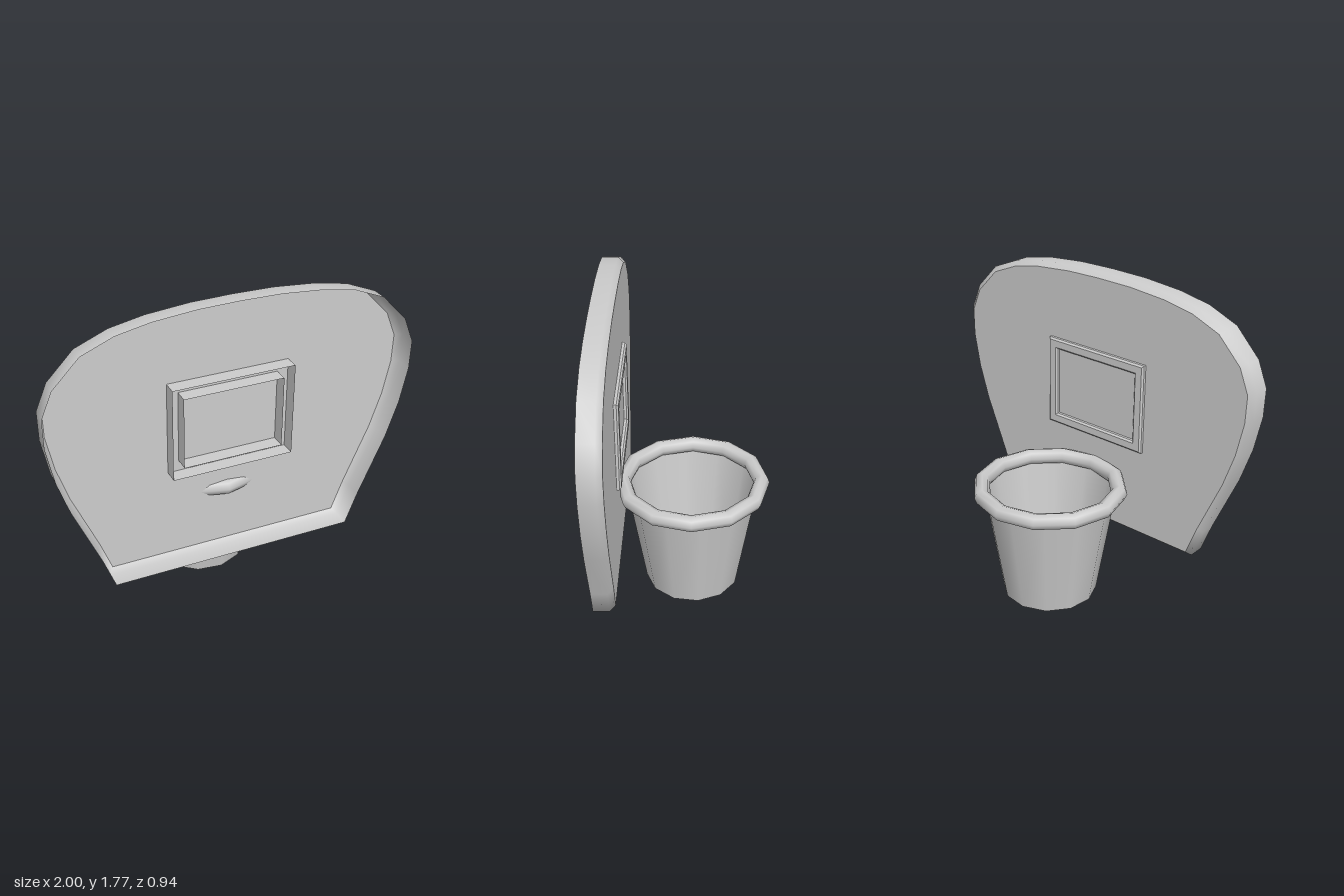
import * as THREE from 'three';
import { mergeVertices } from 'three/addons/utils/BufferGeometryUtils.js';

const material = (flatShading = false) =>
  new THREE.MeshStandardMaterial({ color: 0xcccccc, side: THREE.DoubleSide, flatShading });

// Skin a stack of closed rings, each an array of [x, y, z]; optionally cap the last ring
function loft(rings, cap = false) {
  const n = rings[0].length;
  const index = [];
  for (let r = 0; r < rings.length - 1; r++) {
    for (let i = 0; i < n; i++) {
      const a = r * n + i, b = r * n + (i + 1) % n;
      index.push(a, a + n, b, b, a + n, b + n);
    }
  }
  if (cap) {
    const base = (rings.length - 1) * n;
    const flat = rings[rings.length - 1].map(([x, y]) => new THREE.Vector2(x, y));
    for (const [a, b, c] of THREE.ShapeUtils.triangulateShape(flat, [])) {
      index.push(base + a, base + c, base + b);
    }
  }
  const geometry = new THREE.BufferGeometry();
  geometry.setAttribute('position', new THREE.Float32BufferAttribute(rings.flat(2), 3));
  geometry.setIndex(index);
  geometry.computeVertexNormals();
  return geometry;
}

function addMesh(group, name, geometry, mat) {
  const mesh = new THREE.Mesh(geometry, mat);
  mesh.name = name;
  group.add(mesh);
  return mesh;
}

export function createModel() {
  const group = new THREE.Group();
  group.name = 'basketballHoopBin';

  // Backboard: hollow shell, open toward +z, with a bevelled rear edge
  const half = [
    [0.68, 0.285], [0.745, 0.46], [0.89, 0.8], [0.955, 1.0], [0.995, 1.2], [0.998, 1.36],
    [0.94, 1.5], [0.8, 1.645], [0.63, 1.715], [0.45, 1.75], [0.22, 1.77],
  ];
  const outline = [...half, [0, 1.774], ...half.map(([x, y]) => [-x, y]).reverse()];
  const boardRing = (scale, z) => outline.map(([x, y]) => [x * scale, 1.03 + (y - 1.03) * scale, z]);
  addMesh(group, 'backboardEdge',
    loft([boardRing(1, 0.47), boardRing(1, 0.38), boardRing(0.967, 0.35)]), material());
  addMesh(group, 'backboardPanel', loft([boardRing(0.967, 0.35)], true), material());

  // Target frame: rectangular channel passing through the panel, open toward +z
  const frameRing = (inset, z) => [[1, -1], [1, 1], [-1, 1], [-1, -1]]
    .map(([sx, sy]) => [sx * (0.335 - inset), 1.08 + sy * (0.26 - inset), z]);
  addMesh(group, 'targetFrame', loft([
    frameRing(0, 0.43), frameRing(0, 0.335), frameRing(0.01, 0.325),
    frameRing(0.05, 0.325), frameRing(0.06, 0.335), frameRing(0.06, 0.43),
  ]), material(true));

  // Hoop rim: twelve-sided ring that pokes slightly through the panel
  const rim = addMesh(group, 'hoopRim', new THREE.TorusGeometry(0.387, 0.045, 8, 12), material());
  rim.rotation.x = Math.PI / 2;
  rim.position.set(0, 0.645, -0.042);

  // Basket: tapered tube, open at both ends
  const tube = new THREE.CylinderGeometry(0.372, 0.268, 0.645, 12, 1, true, Math.PI / 24);
  tube.deleteAttribute('uv');
  const basket = addMesh(group, 'basket', mergeVertices(tube), material());
  basket.position.set(0, 0.3225, -0.045);

  return group;
}
